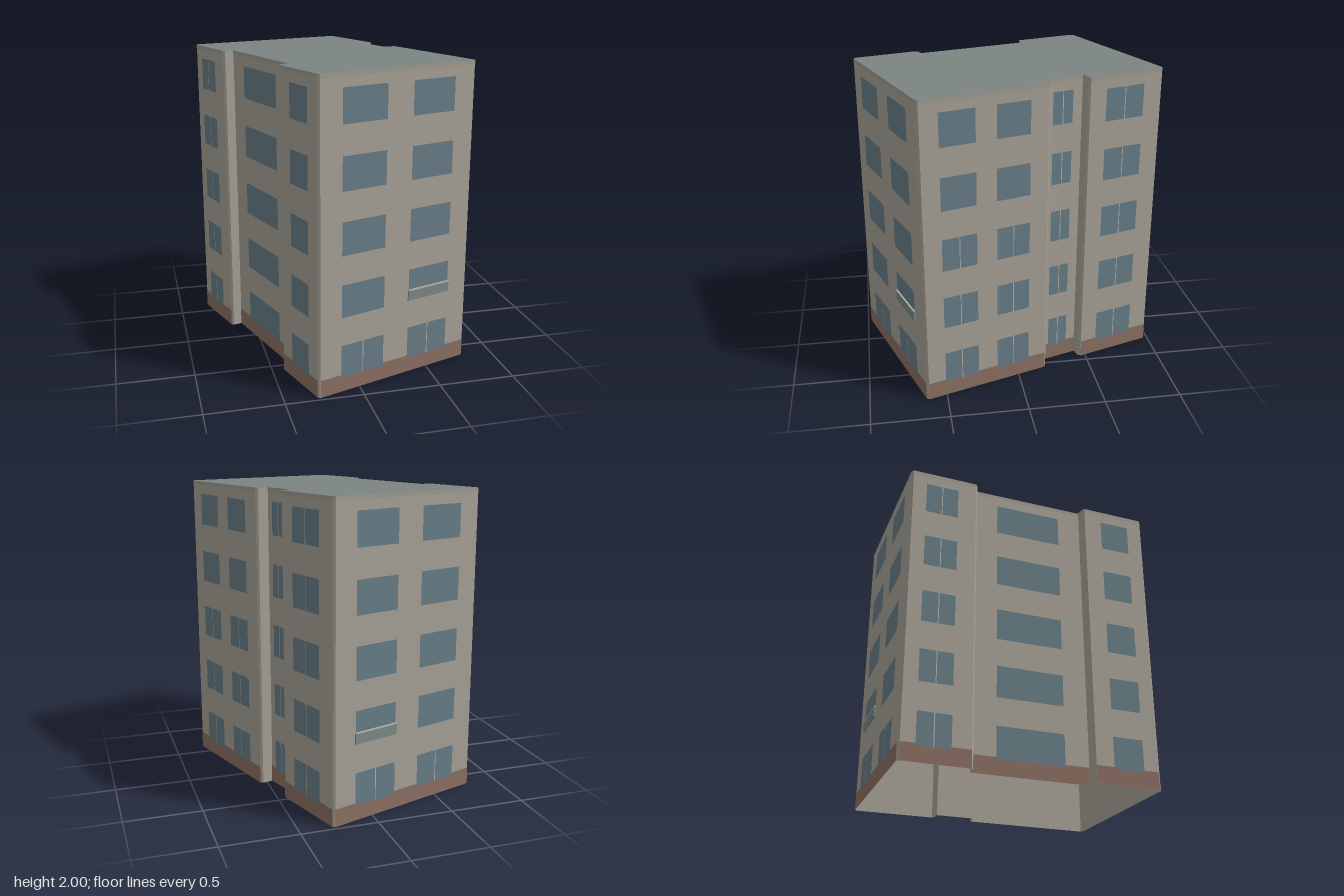
import * as THREE from 'three';

const H = 2;
const mat = (color) => new THREE.MeshStandardMaterial({ color, side: THREE.DoubleSide, flatShading: true });

// Main walls as [x, z] ends, walked round the block with the outside on the right.
// windows: [start, end, number of storeys with a mullion], as fractions of the wall.
const WALLS = [
  { name: 'frontWall', a: [-0.285, 0.98], b: [0.80, 0.63], windows: [[0.134, 0.415, 1], [0.585, 0.866, 1]], balcony: 1 },
  { name: 'rightFrontWall', a: [0.80, 0.63], b: [0.54, -0.20], windows: [[0.139, 0.416, 3], [0.578, 0.849, 3]] },
  { name: 'rightRecessWall', a: [0.46, -0.18], b: [0.38, -0.43], windows: [[0.2, 0.74, 5]] },
  { name: 'rightBackWall', a: [0.45, -0.455], b: [0.285, -0.98], windows: [[0.22, 0.75, 5]] },
  { name: 'backWall', a: [0.285, -0.98], b: [-0.80, -0.635], windows: [[0.134, 0.415, 1], [0.585, 0.866, 1]], balcony: 0 },
  { name: 'leftBackWall', a: [-0.80, -0.635], b: [-0.66, -0.20], windows: [[0.21, 0.71, 5]] },
  { name: 'leftRecessWall', a: [-0.59, -0.22], b: [-0.36, 0.52], windows: [[0.21, 0.79, 0]] },
  { name: 'leftFrontWall', a: [-0.425, 0.545], b: [-0.285, 0.98], windows: [[0.28, 0.76, 0]] },
];

export function createModel() {
  const model = new THREE.Group();
  const wallMat = mat(0xa8a297);
  const trimMat = mat(0xa09c93);
  const plinthMat = mat(0x8c7062);
  const glassMat = mat(0x687e87);
  const frameMat = mat(0xb4b2aa);
  const roofMat = mat(0x7c8581);
  const balconyMat = mat(0x7d8985);

  // Upright group whose +x runs along the wall and +z points outward
  const wallGroup = (name, p, q) => {
    const g = new THREE.Group();
    g.name = name;
    g.position.set(p.x, 0, p.y);
    g.rotation.y = Math.atan2(p.y - q.y, q.x - p.x);
    model.add(g);
    return g;
  };

  // Flat or thin panel on a wall
  const panel = (g, name, x0, x1, y0, y1, out, material, depth = 0) => {
    const geo = depth
      ? new THREE.BoxGeometry(x1 - x0, y1 - y0, depth)
      : new THREE.PlaneGeometry(x1 - x0, y1 - y0);
    const m = new THREE.Mesh(geo, material);
    m.name = name;
    m.position.set((x0 + x1) / 2, (y0 + y1) / 2, out + depth / 2);
    g.add(m);
  };

  // Footprint with small chamfers on the outer corners
  const raw = [];
  const add = (p) => {
    const v = new THREE.Vector2(...p);
    if (!raw.some((r) => r.distanceTo(v) < 1e-4)) raw.push(v);
  };
  WALLS.forEach((w) => { add(w.a); add(w.b); });
  const outline = [];
  raw.forEach((p, i) => {
    const before = raw[(i + raw.length - 1) % raw.length].clone().sub(p).normalize();
    const after = raw[(i + 1) % raw.length].clone().sub(p).normalize();
    if (before.cross(after) > 0) {
      outline.push(p.clone().addScaledVector(before, 0.012), p.clone().addScaledVector(after, 0.012));
    } else {
      outline.push(p);
    }
  });

  // Wall faces, with the recess returns and corner chamfers left plain
  outline.forEach((p, i) => {
    const q = outline[(i + 1) % outline.length];
    const len = p.distanceTo(q);
    const mid = p.clone().add(q).multiplyScalar(0.5);
    const w = len > 0.15 && WALLS.find((s) =>
      mid.distanceTo(new THREE.Vector2((s.a[0] + s.b[0]) / 2, (s.a[1] + s.b[1]) / 2)) < 0.03);
    const g = wallGroup(w ? w.name : len < 0.03 ? 'cornerChamfer' : 'recessReturn', p, q);
    panel(g, 'wallFace', 0, len, 0, H, 0, wallMat);
    if (!w) return;

    panel(g, 'plinth', 0, len, 0, 0.115, 0.002, plinthMat);
    panel(g, 'topTrim', 0, len, 1.975, H, 0.002, trimMat);

    // Five storeys of windows
    w.windows.forEach(([t0, t1, mullions], column) => {
      const x0 = t0 * len, x1 = t1 * len, xm = (x0 + x1) / 2;
      for (let f = 0; f < 5; f++) {
        const y = 0.1 + f * 0.4;
        panel(g, 'window', x0, x1, y, y + 0.213, 0.004, glassMat);
        if (f < mullions) panel(g, 'mullion', xm - 0.003, xm + 0.003, y, y + 0.213, 0.006, frameMat);
      }
      // Shallow balcony guard on the second storey
      if (w.balcony === column) {
        panel(g, 'balconyGuard', x0 - 0.004, x1 + 0.004, 0.505, 0.57, 0.002, balconyMat, 0.01);
        panel(g, 'balconyRail', x0 - 0.004, x1 + 0.004, 0.57, 0.578, 0.002, frameMat, 0.012);
      }
    });
  });

  // Flat roof; the underside of the block stays open
  const shape = new THREE.Shape(outline.map((p) => new THREE.Vector2(p.x, -p.y)));
  const roof = new THREE.Mesh(new THREE.ShapeGeometry(shape).rotateX(-Math.PI / 2), roofMat);
  roof.name = 'roof';
  roof.position.y = H;
  model.add(roof);

  return model;
}
